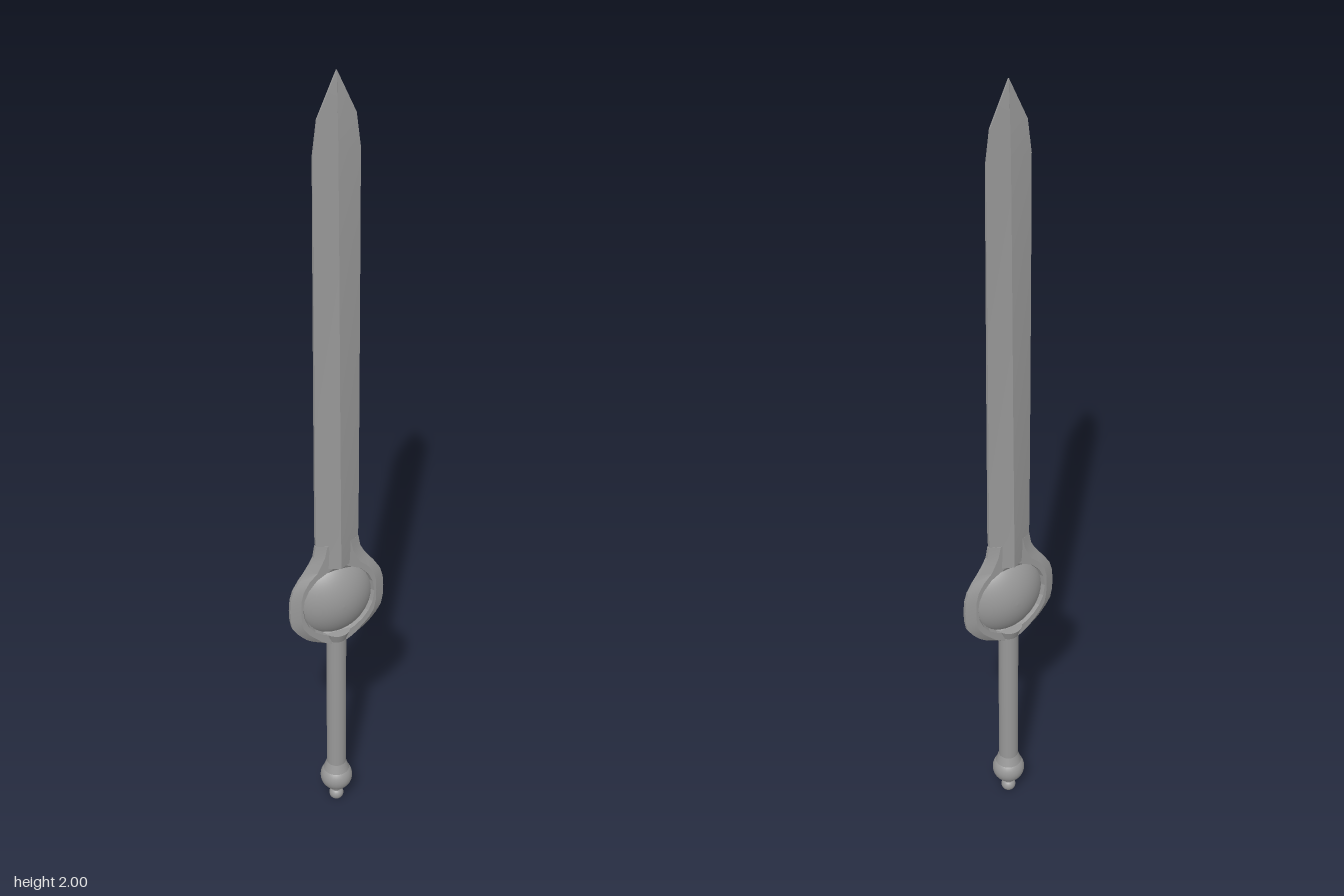
import * as THREE from 'three';
import { toCreasedNormals } from 'three/addons/utils/BufferGeometryUtils.js';

const material = new THREE.MeshStandardMaterial({ color: 0x989898 });

// Skin stacked cross-sections. Each is [y, quarter], where quarter lists
// [x, z] points from the edge to the centre line and is mirrored all round.
function loft(sections) {
  const pos = [], index = [];
  const n = sections[0][1].length * 4 - 2;
  for (const [y, quarter] of sections) {
    const left = quarter.slice(0, -1).reverse().map(([x, z]) => [-x, z]);
    const front = [...quarter, ...left];
    const ring = [...front, ...front.map(([x, z]) => [-x, -z])];
    for (const [x, z] of ring) pos.push(x, y, z);
  }
  for (let r = 0; r < sections.length - 1; r++) {
    for (let i = 0; i < n; i++) {
      const a = r * n + i, b = r * n + (i + 1) % n;
      index.push(a, a + n, b, b, a + n, b + n);
    }
  }
  // Close both ends
  const top = (sections.length - 1) * n;
  for (let i = 1; i < n - 1; i++) {
    index.push(0, i, i + 1, top, top + i + 1, top + i);
  }
  const g = new THREE.BufferGeometry();
  g.setAttribute('position', new THREE.Float32BufferAttribute(pos, 3));
  g.setIndex(index);
  return toCreasedNormals(g, 0.2);
}

export function createModel() {
  const group = new THREE.Group();
  const add = (name, geometry, y = 0) => {
    const mesh = new THREE.Mesh(geometry, material);
    mesh.name = name;
    mesh.position.y = y;
    group.add(mesh);
    return mesh;
  };

  // Blade: flattened diamond, tapering in thickness: [y, halfWidth, edgeZ, ridgeZ]
  add('blade', loft([
    [0.755, 0.05, 0.004, 0.028],
    [0.85, 0.055, 0.004, 0.026],
    [1.2, 0.055, 0.004, 0.02],
    [1.6, 0.055, 0.003, 0.014],
    [1.82, 0.055, 0.002, 0.01],
    [1.9, 0.045, 0.002, 0.007],
    [2.0, 0.001, 0.001, 0.0015],
  ].map(([y, w, e, t]) => [y, [[w, e], [0, t]]])));

  // Rounded guard plate: bevelled rim and an oval recess: [y, halfWidth, bevelX]
  const recess = { y: 0.65, rx: 0.093, ry: 0.1 };
  add('guard', loft([
    [0.522, 0.022, 0.014],
    [0.53, 0.046, 0.03],
    [0.54, 0.066, 0.045],
    [0.55, 0.08, 0.055],
    [0.56, 0.09, 0.066],
    [0.575, 0.103, 0.08],
    [0.595, 0.116, 0.092],
    [0.62, 0.121, 0.097],
    [0.65, 0.122, 0.098],
    [0.68, 0.12, 0.097],
    [0.705, 0.113, 0.091],
    [0.73, 0.098, 0.076],
    [0.75, 0.083, 0.055],
    [0.77, 0.07, 0.045],
    [0.79, 0.06, 0.036],
    [0.82, 0.055, 0.03],
  ].map(([y, w, bevel]) => {
    const u = (y - recess.y) / recess.ry;
    const depth = Math.abs(u) < 0.99 ? 0.01 : 0;
    const rim = Math.min(bevel - 0.001, recess.rx * Math.sqrt(Math.max(0.04, 1 - u * u)));
    return [y, [[w, 0.004], [bevel, 0.015], [rim, 0.015], [rim * 0.95, 0.015 - depth], [0, 0.015 - depth]]];
  })));

  // Domed oval bosses seated in both recesses
  const dome = [];
  for (let i = 0; i <= 12; i++) {
    const u = Math.cos((i / 12) * Math.PI / 2);
    dome.push(new THREE.Vector2(u, 0.004 + 0.038 * Math.pow(1 - u * u, 0.85)));
  }
  for (const side of [1, -1]) {
    const g = new THREE.LatheGeometry(dome, 40);
    g.rotateX(side * Math.PI / 2);
    g.scale(0.089, 0.098, 1);
    add(side > 0 ? 'frontBoss' : 'backBoss', g, recess.y);
  }

  // Grip, with a flared collar where it meets the guard
  add('grip', new THREE.CylinderGeometry(0.024, 0.024, 0.44, 24), 0.32);
  add('gripCollar', new THREE.CylinderGeometry(0.033, 0.024, 0.025, 24), 0.543);

  // Pommel ball with short necks and an end bead
  add('pommel', new THREE.SphereGeometry(0.04, 28, 18), 0.08);
  add('pommelCollar', new THREE.CylinderGeometry(0.024, 0.032, 0.024, 24), 0.117);
  add('beadNeck', new THREE.CylinderGeometry(0.013, 0.012, 0.016, 16), 0.037);
  add('endBead', new THREE.SphereGeometry(0.018, 20, 14), 0.018);

  return group;
}
